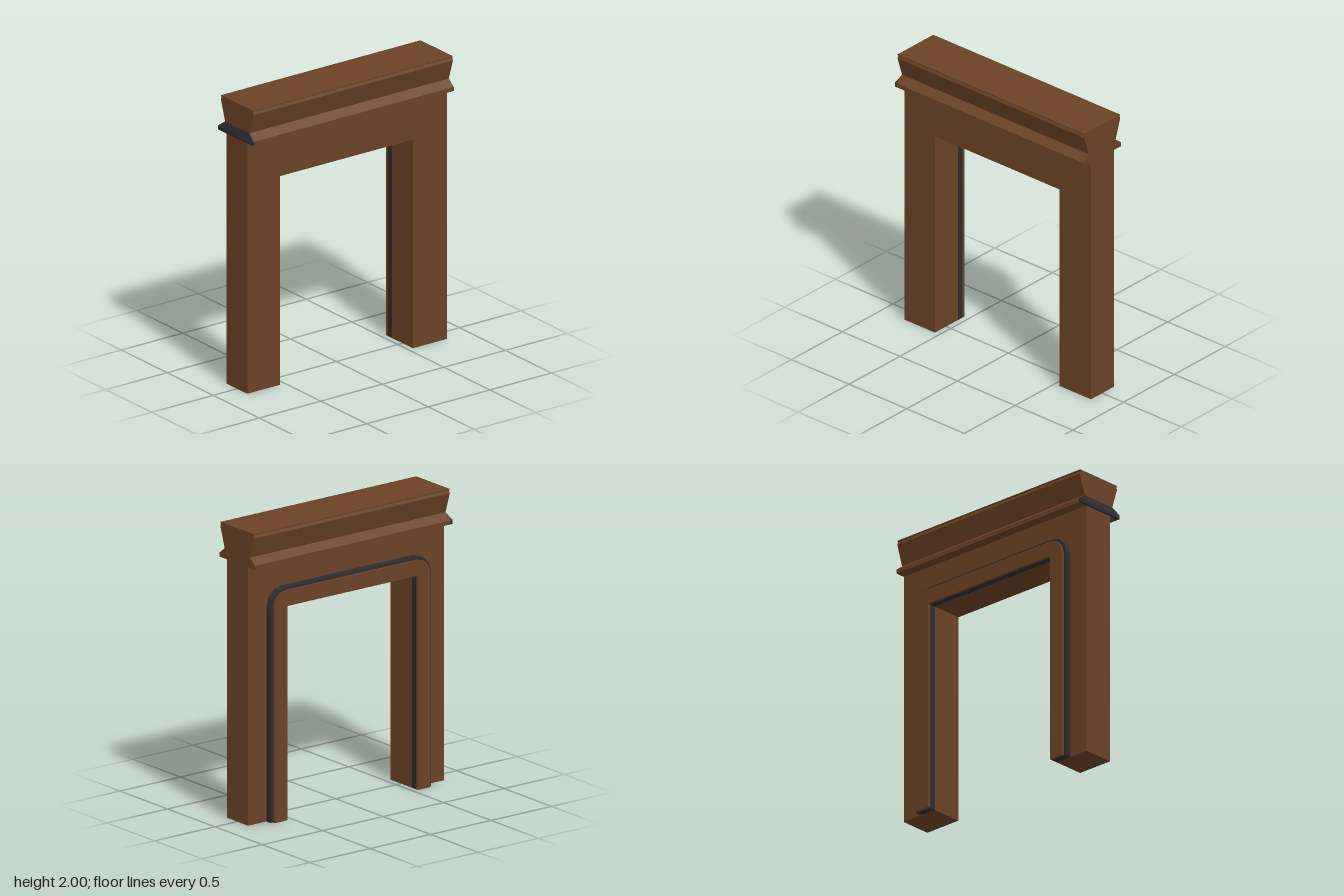
import * as THREE from 'three';

const brown = new THREE.MeshStandardMaterial({ color: 0x6b4226, flatShading: true });
const dark = new THREE.MeshStandardMaterial({ color: 0x2f2d2e, flatShading: true });

const OPEN_Z = 0.54, OPEN_Y = 1.46; // doorway half width and height
const BACK = -0.815, FRONT = 0.805; // ends of the wall

const toShape = (pts) => new THREE.Shape(pts.map(([a, b]) => new THREE.Vector2(a, b)));

function addMesh(group, name, geometry, material) {
  const mesh = new THREE.Mesh(geometry, material);
  mesh.name = name;
  group.add(mesh);
  return mesh;
}

// Extrude a (z, y) outline along x, between x0 and x1 (x0 < x1)
function extrudeX(pts, x0, x1) {
  const g = new THREE.ExtrudeGeometry(toShape(pts), { depth: x1 - x0, bevelEnabled: false });
  return g.rotateY(-Math.PI / 2).translate(x1, 0, 0);
}

// Extrude a mirrored (half width, y) profile along z, between z0 and z1
function extrudeZ(half, z0, z1) {
  const mirrored = half.map(([x, y]) => [-x, y]).reverse();
  const g = new THREE.ExtrudeGeometry(toShape([...half, ...mirrored]), { depth: z1 - z0, bevelEnabled: false });
  return g.translate(0, 0, z1 - (z1 - z0));
}

// Arch-shaped band of the given width around the doorway, with faceted outer corners
function archBand(width) {
  const right = [];
  for (let i = 0; i <= 3; i++) {
    const a = (i / 3) * Math.PI / 2;
    right.push([OPEN_Z + width * Math.cos(a), OPEN_Y + width * Math.sin(a)]);
  }
  const left = right.map(([z, y]) => [-z, y]).reverse();
  return [
    [OPEN_Z, 0], [OPEN_Z + width, 0], ...right,
    ...left, [-OPEN_Z - width, 0], [-OPEN_Z, 0],
    [-OPEN_Z, OPEN_Y], [OPEN_Z, OPEN_Y],
  ];
}

export function createModel() {
  const model = new THREE.Group();
  model.name = 'doorway';

  // Two posts and the lintel in one piece
  const wall = [
    [OPEN_Z, 0], [FRONT, 0], [FRONT, 1.76], [BACK, 1.76], [BACK, 0],
    [-OPEN_Z, 0], [-OPEN_Z, OPEN_Y], [OPEN_Z, OPEN_Y],
  ];
  addMesh(model, 'doorFrame', extrudeX(wall, -0.115, 0.11), brown);

  // Stepped trim around the opening, on one face only
  addMesh(model, 'outerTrim', extrudeX(archBand(0.125), -0.16, -0.115), dark);
  addMesh(model, 'innerTrim', extrudeX(archBand(0.105), -0.18, -0.16), brown);

  // Sloped ledge above the lintel
  const ledge = [[0.187, 1.76], [0.187, 1.788], [0.132, 1.83]];
  addMesh(model, 'ledge', extrudeZ(ledge, BACK, FRONT), brown);

  // Dark end piece of the ledge, its top sloping back to the wall
  const end = extrudeZ(ledge, FRONT, 0.82);
  const p = end.attributes.position;
  for (let i = 0; i < p.count; i++) if (p.getY(i) > 1.8) p.setZ(i, FRONT);
  end.computeVertexNormals();
  addMesh(model, 'ledgeEnd', end, dark);

  // Flared cap with a small notch under the top slab
  const cap = [[0.132, 1.83], [0.177, 1.97], [0.17, 1.99], [0.175, 1.993], [0.175, 2]];
  addMesh(model, 'cap', extrudeZ(cap, BACK, FRONT), brown);

  return model;
}
